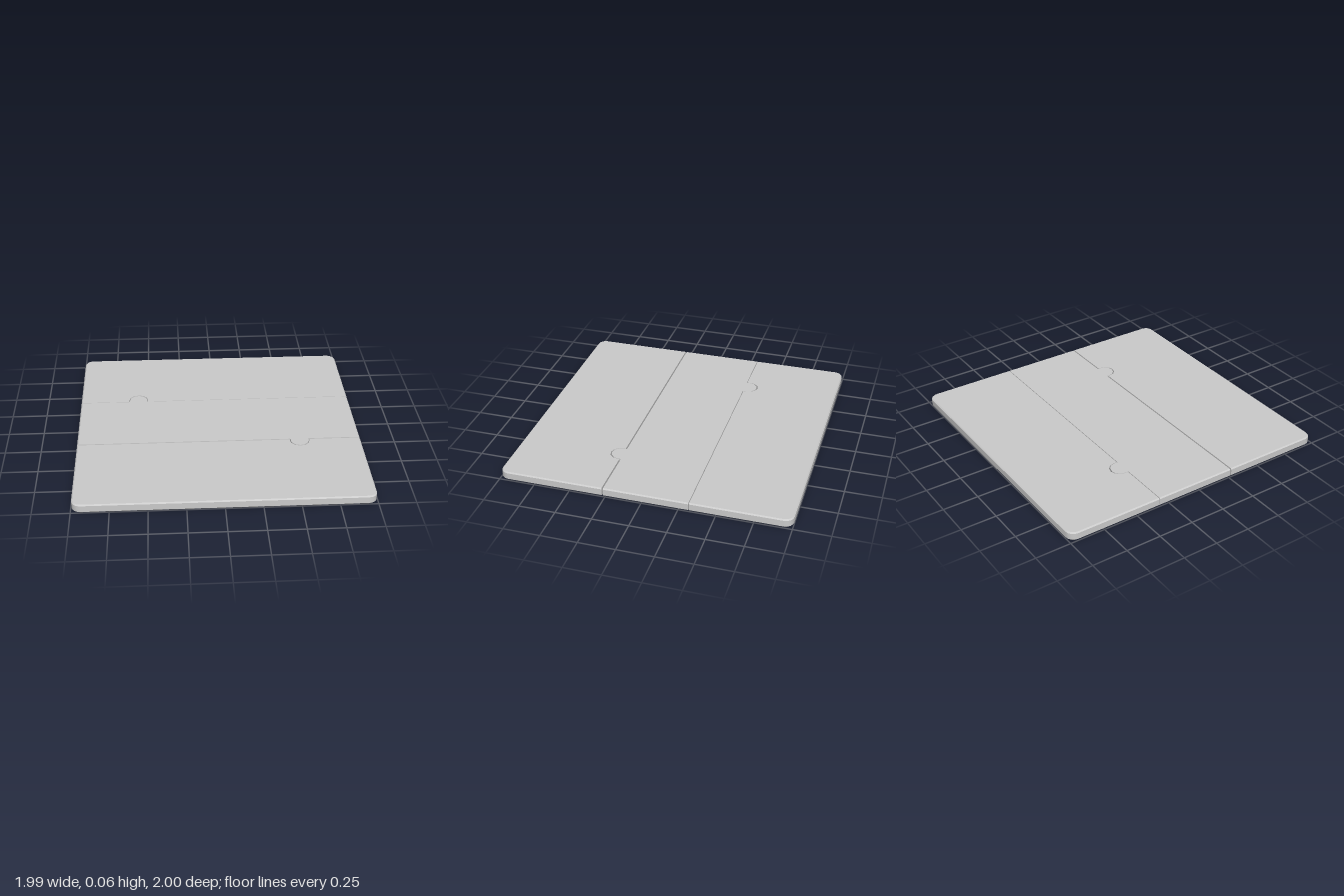
import * as THREE from 'three';
import { toCreasedNormals } from 'three/addons/utils/BufferGeometryUtils.js';

const HX = 0.995, HZ = 1, H = 0.06;   // half width, half depth, thickness
const R = 0.06, B = 0.008;            // corner radius, edge chamfer

// Points [x, z] along a seam from -x to +x, with a round tab reaching out in direction dir
function seam(z, dir, cx, r, neck) {
  const pts = [[-HX, z], [cx - r, z]];
  for (let i = 0; i <= 6; i++) {
    const a = Math.PI * (1 - i / 6);
    pts.push([cx + r * Math.cos(a), z + dir * (neck + r * Math.sin(a))]);
  }
  pts.push([cx + r, z], [HX, z]);
  return pts;
}

// Outer edge from +x to -x with two rounded corners, on the front (dir 1) or back (dir -1)
function outerEdge(dir) {
  const pts = [];
  for (const side of [1, -1]) {
    for (let i = 0; i <= 4; i++) {
      const a = (Math.PI / 8) * (side > 0 ? i : 4 - i);
      pts.push([side * (HX - R + R * Math.cos(a)), dir * (HZ - R + R * Math.sin(a))]);
    }
  }
  return pts;
}

// Extrude an outline upward and chamfer only the rim of the whole board
function panel(name, outline, material) {
  const shape = new THREE.Shape(outline.map(([x, z]) => new THREE.Vector2(x, -z)));
  const geo = new THREE.ExtrudeGeometry(shape, { depth: H, steps: 3, bevelEnabled: false });
  geo.rotateX(-Math.PI / 2);
  const p = geo.attributes.position;
  for (let i = 0; i < p.count; i++) {
    const x = p.getX(i), z = p.getZ(i), layer = Math.round((p.getY(i) / H) * 3);
    p.setY(i, [0, B, H - B, H][layer]);
    if (layer === 0 || layer === 3) {
      const dx = Math.max(Math.abs(x) - (HX - R), 0), dz = Math.max(Math.abs(z) - (HZ - R), 0);
      p.setX(i, x - Math.sign(x) * dx * B / R);
      p.setZ(i, z - Math.sign(z) * dz * B / R);
    }
  }
  const mesh = new THREE.Mesh(toCreasedNormals(geo, Math.PI / 6), material);
  mesh.name = name;
  return mesh;
}

export function createModel() {
  const group = new THREE.Group();
  group.name = 'interlockingBoard';
  const material = new THREE.MeshStandardMaterial({ color: 0xcccccc });

  // Back panel with a socket, middle panel with two tabs, front panel with a socket
  group.add(
    panel('backPanel', [...seam(-0.322, -1, -0.57, 0.069, 0.025), ...outerEdge(-1)], material),
    panel('middlePanel', [
      ...seam(-0.317, -1, -0.57, 0.065, 0.025),
      ...seam(0.264, 1, 0.565, 0.064, 0.022).reverse(),
    ], material),
    panel('frontPanel', [...seam(0.274, 1, 0.565, 0.069, 0.016), ...outerEdge(1)], material),
  );
  return group;
}
